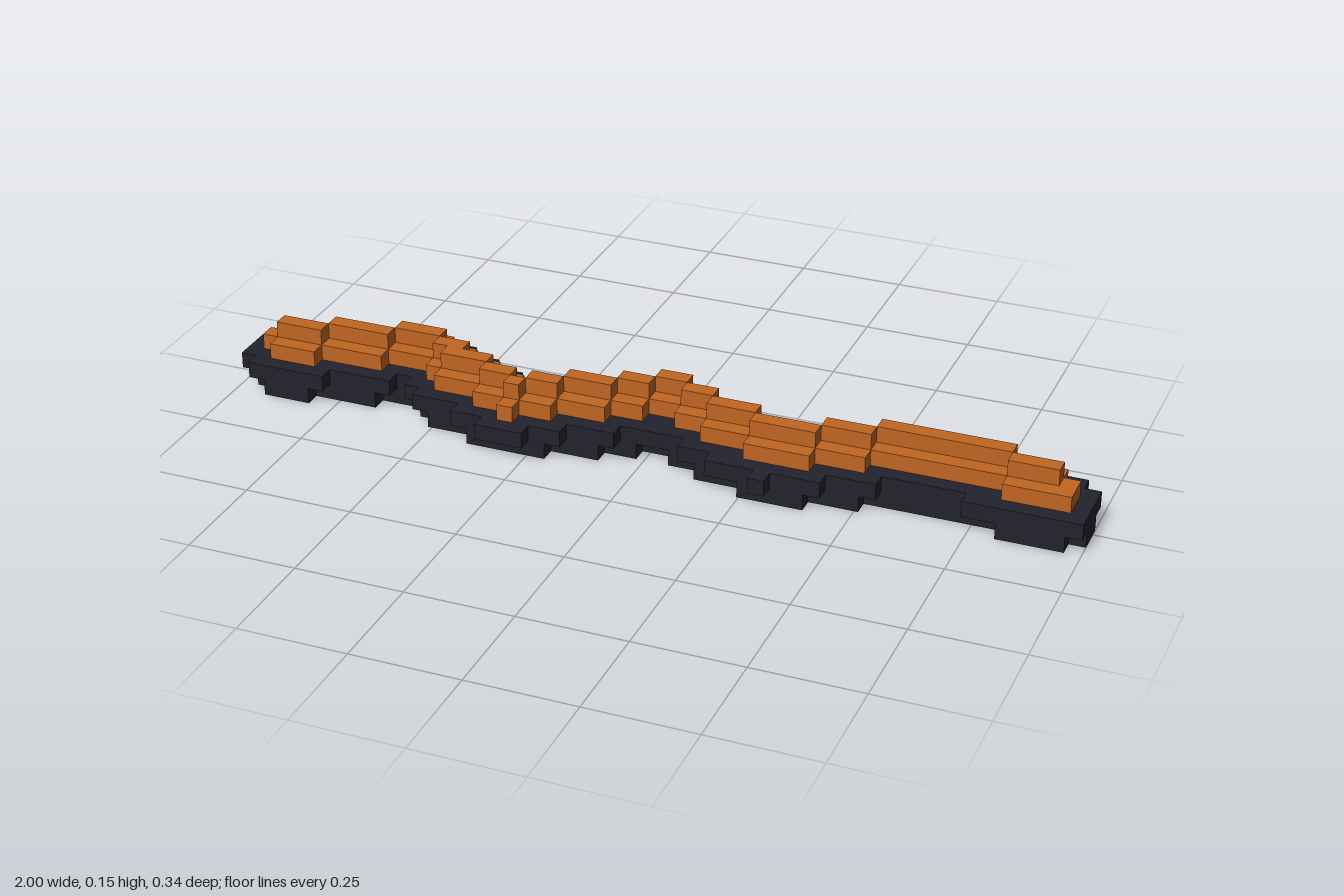
import * as THREE from 'three';

const U = 2 / 53; // one voxel; the grid is 53 columns (x) by 9 rows (z)

// Expand [firstColumn, value] steps to one value per column.
function expand(steps, last) {
  const out = [];
  steps.forEach(([c, v], i) => {
    const stop = i + 1 < steps.length ? steps[i + 1][0] : last + 1;
    for (let k = c; k < stop; k++) out[k] = v;
  });
  return out;
}

// One layer of voxels: equal neighbouring columns are joined into one box.
function buildLayer(name, level, first, last, span, material) {
  const group = new THREE.Group();
  group.name = name;
  let c = first;
  while (c <= last) {
    const [a, b] = span(c);
    let e = c + 1;
    while (e <= last && span(e)[0] === a && span(e)[1] === b) e++;
    const mesh = new THREE.Mesh(new THREE.BoxGeometry((e - c) * U, U, (b - a) * U), material);
    mesh.position.set(-1 + ((c + e) / 2) * U, (level + 0.5) * U, ((a + b) / 2 - 4.5) * U);
    mesh.name = name + 'Block';
    group.add(mesh);
    c = e;
  }
  return group;
}

export function createModel() {
  const dark = new THREE.MeshStandardMaterial({ color: 0x23232d });
  dark.name = 'charcoal';
  const orange = new THREE.MeshStandardMaterial({ color: 0xc06622 });
  orange.name = 'burntOrange';

  // Back and front edges of the wavy border
  const rimBack = expand([[0, 3], [1, 2], [4, 1], [8, 0], [13, 1], [15, 2], [17, 3], [21, 2], [23, 1],
    [25, 0], [28, 1], [30, 2], [33, 3], [37, 2], [39, 1], [42, 0], [43, 1], [48, 2], [52, 3]], 52);
  const rimFront = expand([[0, 6], [1, 7], [6, 6], [10, 5], [11, 6], [12, 7], [15, 8], [17, 9], [20, 8],
    [22, 7], [25, 6], [29, 7], [31, 8], [34, 9], [35, 8], [38, 7], [41, 6], [46, 7]], 52);

  // Back and front edges of the wavy band on top of it
  const bandBack = expand([[1, 4], [2, 3], [6, 2], [9, 1], [12, 2], [14, 3], [16, 4], [18, 5], [20, 4],
    [22, 3], [24, 2], [29, 3], [31, 4], [34, 5], [35, 4], [38, 3], [41, 2], [46, 3], [51, 4]], 51);
  const bandFront = expand([[1, 5], [2, 6], [5, 5], [9, 4], [12, 5], [13, 6], [16, 7], [18, 8], [19, 7],
    [21, 6], [24, 5], [26, 4], [28, 5], [30, 6], [33, 7], [37, 6], [40, 5], [48, 6]], 51);

  // The foot follows the band, grown by one voxel without its corners
  const foot = (c) => {
    const back = Math.min(bandBack[c] - 1 || 9, bandBack[c - 1] ?? 9, bandBack[c + 1] ?? 9);
    const front = Math.max(bandFront[c] + 1 || 0, bandFront[c - 1] ?? 0, bandFront[c + 1] ?? 0);
    return [Math.max(bandBack[c] === 1 ? 0 : back, rimBack[c]), Math.min(front, rimFront[c], 8)];
  };

  // The ridge runs along the middle of the band
  const ridge = (c) => {
    const a = bandBack[c], b = bandFront[c];
    return b - a > 2 ? [a + 1, b - 1] : [a, a + 1];
  };

  const model = new THREE.Group();
  model.name = 'wavyStrip';
  model.add(
    buildLayer('foot', 0, 1, 52, foot, dark),
    buildLayer('border', 1, 0, 52, (c) => [rimBack[c], rimFront[c]], dark),
    buildLayer('band', 2, 1, 51, (c) => [bandBack[c], bandFront[c]], orange),
    buildLayer('ridge', 3, 2, 50, ridge, orange),
  );
  return model;
}
